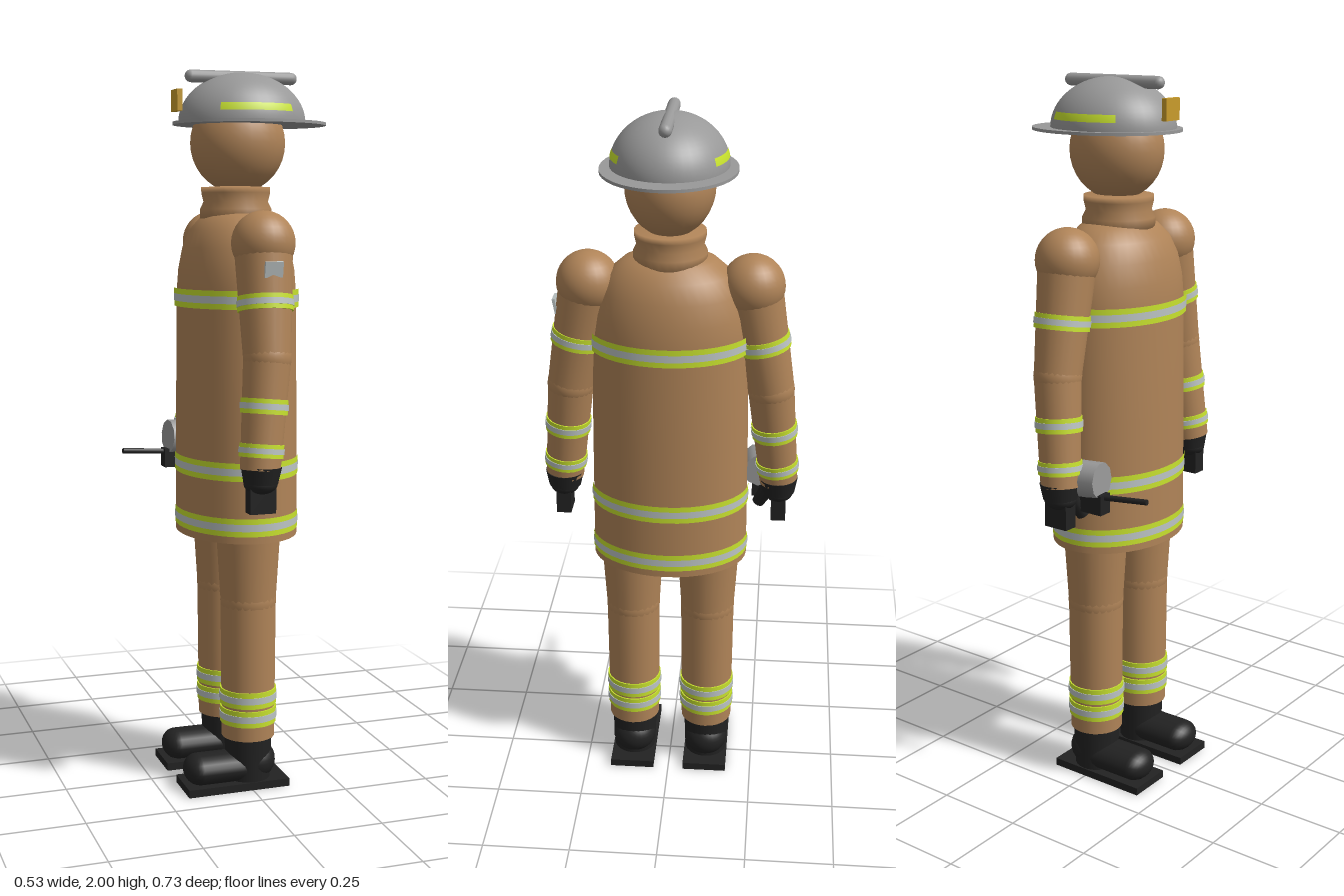
import * as THREE from 'three';

const mat = (name, color) => {
  const m = new THREE.MeshStandardMaterial({ color });
  m.name = name;
  return m;
};

export function createModel() {
  const root = new THREE.Group();
  root.name = 'firefighter';
  const tan = mat('tanFabric', 0xb08458);
  const lime = mat('limeTape', 0xc8e22e);
  const silver = mat('silverTape', 0xbcc4c4);
  const grey = mat('helmetGrey', 0x999999);
  const black = mat('blackRubber', 0x222222);
  const gold = mat('goldBadge', 0xc99c2c);
  const V = (x, y, z) => new THREE.Vector3(x, y, z);

  const add = (parent, name, geo, m, p = [0, 0, 0], s = [1, 1, 1]) => {
    const mesh = new THREE.Mesh(geo, m);
    mesh.name = name;
    mesh.position.set(...p);
    mesh.scale.set(...s);
    parent.add(mesh);
    return mesh;
  };
  const group = (name) => {
    const g = new THREE.Group();
    g.name = name;
    root.add(g);
    return g;
  };
  const ball = (parent, name, m, p, s) => add(parent, name, new THREE.SphereGeometry(1, 28, 18), m, p, s);
  const box = (parent, name, m, p, s) => add(parent, name, new THREE.BoxGeometry(...s), m, p);

  // Tapered cylinder from point a to point b
  const limb = (parent, name, m, a, b, ra, rb, sides = 24) => {
    const mesh = add(parent, name, new THREE.CylinderGeometry(rb, ra, a.distanceTo(b), sides), m);
    mesh.position.copy(a).lerp(b, 0.5);
    mesh.quaternion.setFromUnitVectors(V(0, 1, 0), b.clone().sub(a).normalize());
    return mesh;
  };
  // Reflective tape: lime ring with a silver centre, at height y on a limb
  const limbTape = (parent, a, b, ra, rb, y, h) => {
    const t = (y - a.y) / (b.y - a.y), r = ra + (rb - ra) * t;
    const dir = b.clone().sub(a).normalize(), c = a.clone().lerp(b, t);
    const at = (d) => c.clone().addScaledVector(dir, d);
    limb(parent, 'limeTape', lime, at(-h / 2), at(h / 2), r + 0.004, r + 0.004);
    limb(parent, 'silverTape', silver, at(-h / 5), at(h / 5), r + 0.006, r + 0.006);
  };

  // Coat: oval lathe, narrower from chest to back
  const coat = group('coat');
  coat.position.x = 0.006;
  coat.scale.x = 0.755;
  const profile = [[0, 0.72], [0.22, 0.72], [0.22, 0.72], [0.217, 1.1], [0.213, 1.4], [0.207, 1.46], [0.192, 1.52],
    [0.165, 1.57], [0.125, 1.605], [0.08, 1.62], [0, 1.625]];
  add(coat, 'coatBody', new THREE.LatheGeometry(profile.map(([r, y]) => new THREE.Vector2(r, y)), 40), tan);
  for (const y of [0.765, 0.918, 1.383]) {
    add(coat, 'limeTape', new THREE.CylinderGeometry(0.222, 0.222, 0.05, 40, 1, true), lime, [0, y, 0]);
    add(coat, 'silverTape', new THREE.CylinderGeometry(0.2235, 0.2235, 0.02, 40, 1, true), silver, [0, y, 0]);
  }

  // Collar and head
  const collar = [[0, 1.57], [0.1, 1.59], [0.1, 1.625], [0.09, 1.645], [0.096, 1.67], [0.096, 1.685], [0, 1.69]];
  add(root, 'collar', new THREE.LatheGeometry(collar.map(([r, y]) => new THREE.Vector2(r, y)), 28), tan, [0.006, 0, 0]);
  ball(root, 'head', tan, [0.012, 1.805, 0], [0.133, 0.135, 0.12]);

  // Helmet: dome, wide rear brim, top ridge, front badge, side trim
  const helmet = group('helmet');
  add(helmet, 'dome', new THREE.SphereGeometry(1, 40, 16, 0, Math.PI * 2, 0, Math.PI / 2), grey,
    [0.024, 1.86, 0], [0.178, 0.136, 0.156]);
  add(helmet, 'brim', new THREE.CylinderGeometry(1, 1, 0.008, 40), grey, [0.046, 1.858, 0], [0.216, 1, 0.18]);
  const ridge = add(helmet, 'ridge', new THREE.CapsuleGeometry(0.017, 0.29, 6, 14), grey, [0.022, 1.983, 0]);
  ridge.rotation.z = Math.PI / 2;
  box(helmet, 'badge', gold, [-0.163, 1.917, 0], [0.015, 0.058, 0.06]);
  for (const start of [-0.58, Math.PI - 0.58]) {
    add(helmet, 'sideTrim', new THREE.SphereGeometry(1.008, 20, 3, start + Math.PI / 2 - 0.05, 1.25,
      Math.PI / 2 - 0.34, 0.15), lime, [0.024, 1.86, 0], [0.178, 0.136, 0.156]);
  }

  for (const s of [1, -1]) {
    const side = s > 0 ? 'near' : 'far';

    // Arm
    const arm = group(side + 'Arm');
    const shoulder = V(0.008, 1.535, s * 0.222), elbow = V(0, 1.235, s * 0.278), wrist = V(-0.029, 0.94, s * 0.307);
    ball(arm, 'shoulder', tan, shoulder.toArray(), [0.086, 0.086, 0.086]);
    limb(arm, 'upperArm', tan, shoulder, elbow, 0.079, 0.064);
    ball(arm, 'elbow', tan, elbow.toArray(), [0.065, 0.065, 0.065]);
    limb(arm, 'forearm', tan, elbow, wrist, 0.064, 0.054);
    limbTape(arm, shoulder, elbow, 0.079, 0.064, 1.376, 0.04);
    limbTape(arm, elbow, wrist, 0.064, 0.054, 1.108, 0.04);
    limbTape(arm, elbow, wrist, 0.064, 0.054, 0.992, 0.036);

    // Glove
    limb(arm, 'gloveCuff', black, V(-0.026, 0.95, s * 0.307), V(-0.028, 0.905, s * 0.308), 0.055, 0.046, 18);
    ball(arm, 'palm', black, [-0.028, 0.905, s * 0.308], [0.046, 0.03, 0.042]);
    box(arm, 'fingers', black, [-0.028, 0.87, s * 0.309], [0.072, 0.088, 0.042]);

    // Leg
    const leg = group(side + 'Leg');
    const z = s * 0.11, hip = V(0.006, 0.8, z), knee = V(0.006, 0.54, z), ankle = V(0.006, 0.145, z);
    limb(leg, 'thigh', tan, hip, knee, 0.094, 0.078);
    ball(leg, 'knee', tan, knee.toArray(), [0.079, 0.079, 0.079]);
    limb(leg, 'shin', tan, knee, ankle, 0.078, 0.075);
    for (const y of [0.264, 0.21]) limbTape(leg, knee, ankle, 0.078, 0.075, y, 0.046);

    // Boot, toe pointing to -x
    const boot = group(side + 'Boot');
    limb(boot, 'bootShaft', black, V(0.006, 0.02, z), V(0.006, 0.155, z), 0.062, 0.068);
    ball(boot, 'heel', black, [0.022, 0.07, z], [0.062, 0.058, 0.064]);
    const toe = add(boot, 'toe', new THREE.CapsuleGeometry(0.044, 0.115, 8, 20), black, [-0.083, 0.057, z], [1, 1, 1.38]);
    toe.rotation.z = Math.PI / 2;
    box(boot, 'sole', black, [-0.04, 0.011, z], [0.297, 0.022, 0.13]);
  }

  // Sleeve patch
  const patch = box(root, 'sleevePatch', silver, [0.006, 1.468, 0.311], [0.05, 0.042, 0.008]);
  patch.rotation.x = 0.18;

  // Hand lamp with grip and pointing rod
  const tool = group('handTool');
  limb(tool, 'lampBody', grey, V(-0.05, 0.955, -0.256), V(-0.123, 0.958, -0.248), 0.05, 0.05, 10);
  box(tool, 'toolBlock', black, [-0.1, 0.895, -0.252], [0.075, 0.055, 0.042]);
  limb(tool, 'rod', black, V(-0.1, 0.911, -0.255), V(-0.264, 0.923, -0.237), 0.008, 0.008, 8);
  limb(tool, 'grip', black, V(-0.04, 0.92, -0.285), V(-0.06, 0.85, -0.25), 0.024, 0.018, 12);

  return root;
}
